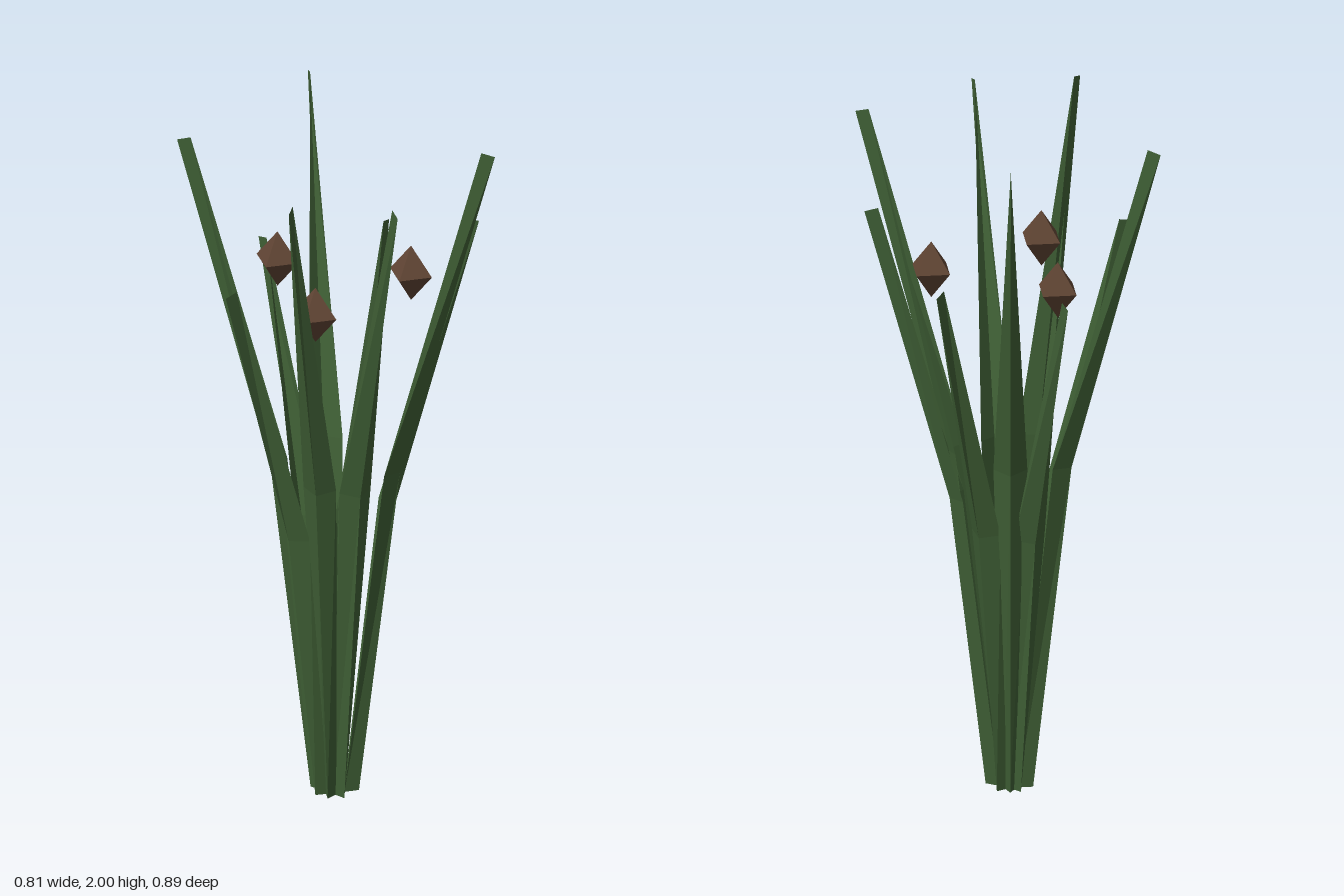
import * as THREE from 'three';

// Plant axis, slightly off the centre of the bounding box
const AXIS = new THREE.Vector3(-0.01, 0, 0.005);
const KEEL = 0.038; // depth of the V-shaped fold

// Blade tips: x, z, height
const TIPS = [
  [0.045, 0.445, 1.945], [-0.25, 0.38, 1.965], [-0.365, 0.15, 1.62],
  [-0.405, -0.2, 1.955], [-0.13, -0.34, 1.56], [0.042, -0.445, 2.0],
  [0.23, -0.285, 1.59], [0.39, 0.06, 1.72], [0.4, 0.185, 1.97],
];

// Folded blade leaning along +x: rings of left edge, outer keel, right edge
function bladeGeometry(h, reach) {
  const inner = reach - KEEL;
  const rings = [ // inner radius, y, half width, keel drop
    [0.03, 0, 0.018, 0],
    [0.03 + 0.058 * h, h * 0.5, 0.047, 0.006],
    [inner, h, 0, 0.01],
  ];
  const pos = [], index = [];
  for (const [r, y, w, drop] of rings) {
    pos.push(r, y, -w, r + KEEL, y - drop, 0, r, y, w);
  }
  for (let i = 0; i < 2; i++) {
    for (let j = 0; j < 2; j++) {
      const a = i * 3 + j, b = a + 1, c = a + 3, d = a + 4;
      index.push(a, c, b, b, c, d);
    }
  }
  const g = new THREE.BufferGeometry();
  g.setAttribute('position', new THREE.Float32BufferAttribute(pos, 3));
  g.setIndex(index);
  const flat = g.toNonIndexed();
  flat.computeVertexNormals();
  return flat;
}

export function createModel() {
  const leafGreen = new THREE.MeshStandardMaterial({ color: 0x3f5f35, flatShading: true, side: THREE.DoubleSide });
  leafGreen.name = 'leafGreen';
  const budBrown = new THREE.MeshStandardMaterial({ color: 0x5f4433, flatShading: true });
  budBrown.name = 'budBrown';

  const group = new THREE.Group();
  group.name = 'reedPlant';

  // Ring of bent blades
  TIPS.forEach(([x, z, h], i) => {
    const dx = x - AXIS.x, dz = z - AXIS.z;
    const blade = new THREE.Mesh(bladeGeometry(h, Math.hypot(dx, dz)), leafGreen);
    blade.name = `blade${i + 1}`;
    blade.position.copy(AXIS);
    blade.rotation.y = -Math.atan2(dz, dx);
    group.add(blade);
  });

  // Three square bipyramid buds between the blades
  const budGeo = new THREE.OctahedronGeometry(1, 0);
  budGeo.rotateY(Math.PI / 4);
  budGeo.scale(0.066, 0.083, 0.066);
  for (let i = 0; i < 3; i++) {
    const a = (i * 2 * Math.PI) / 3;
    const bud = new THREE.Mesh(budGeo, budBrown);
    bud.name = `bud${i + 1}`;
    bud.position.set(AXIS.x + 0.22 * Math.cos(a), 1.55, AXIS.z + 0.22 * Math.sin(a));
    group.add(bud);
  }
  return group;
}
